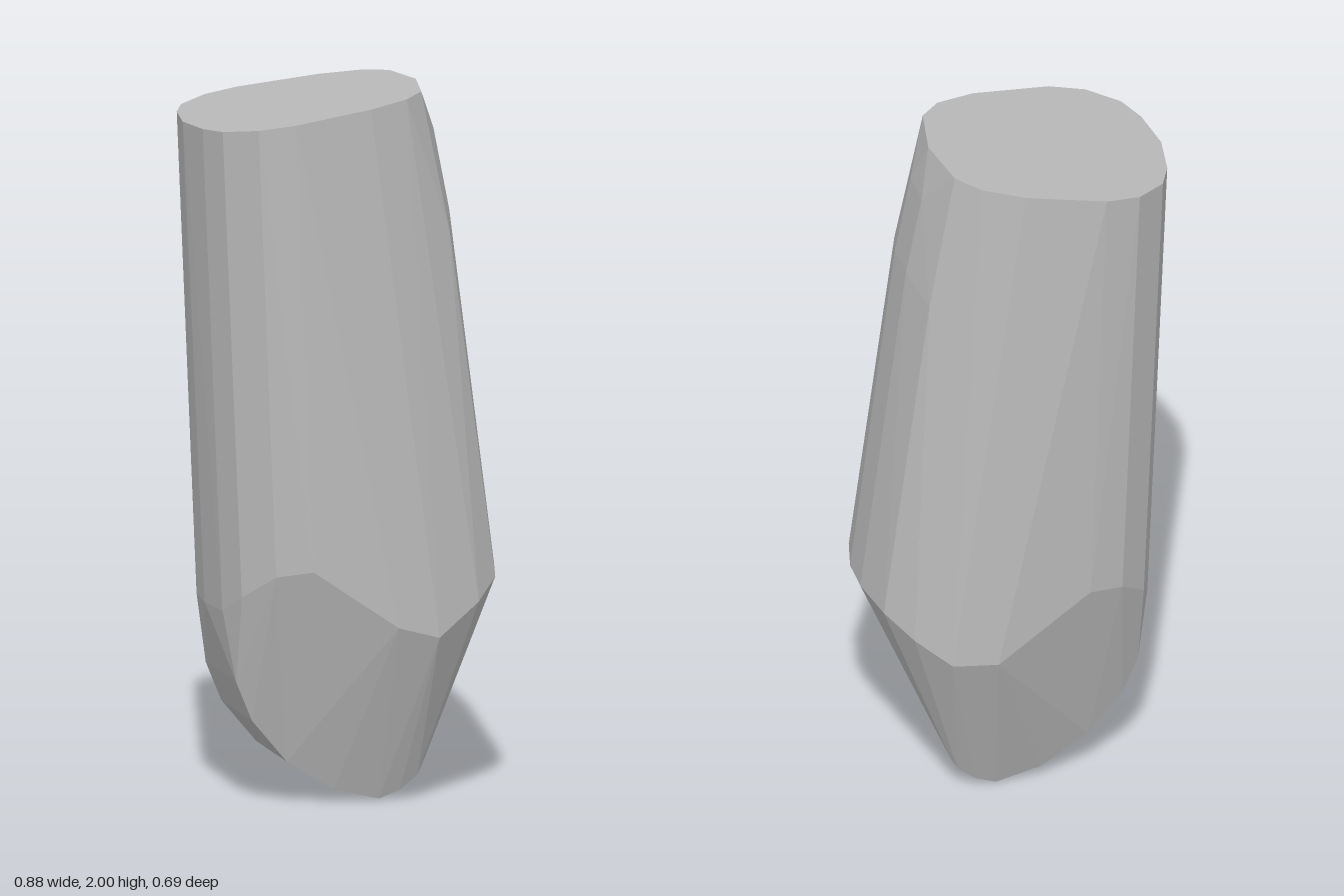
import * as THREE from 'three';
import { ConvexGeometry } from 'three/addons/geometries/ConvexGeometry.js';

export function createModel() {
  const group = new THREE.Group();
  const grey = new THREE.MeshStandardMaterial({ color: 0xb8b8b8, flatShading: true });
  grey.name = 'plain grey';

  const points = [];
  const add = (x, y, z) => points.push(new THREE.Vector3(x, y, z));
  const mirrored = (x, y, z) => { add(x, y, z); if (z > 0) add(x, y, -z); };

  // slanted flat end: half outline as x, z
  const end = [[-0.44, 0], [-0.42, 0.14], [-0.385, 0.225], [-0.3, 0.295], [-0.2, 0.316],
    [0.025, 0.287], [0.14, 0.24], [0.2, 0.172], [0.23, 0]];
  for (const [x, z] of end) mirrored(x, 2 + (x - 0.23) * 0.134, z);

  // rounded shoulder under the high edge
  mirrored(0.265, 1.87, 0.06);
  mirrored(0.31, 1.64, 0.06);
  mirrored(0.277, 1.6, 0.19);
  mirrored(0.21, 1.78, 0.21);

  // widest ring, where the tip begins
  const ring = [[0.44, 0.635, 0.055], [0.408, 0.62, 0.19], [0.34, 0.565, 0.268],
    [-0.15, 0.68, 0.325], [-0.25, 0.665, 0.295], [-0.33, 0.6, 0.225],
    [-0.363, 0.55, 0.14], [-0.377, 0.55, 0]];
  for (const p of ring) mirrored(...p);
  add(0.09, 0.515, 0.345);
  add(0.21, 0.48, 0.332);
  add(0.12, 0.5, -0.348);
  add(0.245, 0.5, -0.325);

  // curved wedge of the tip: side profile with half widths
  const tip = [[-0.33, 0.35, 0.165], [-0.285, 0.24, 0.165], [-0.185, 0.12, 0.165], [-0.05, 0.035, 0.165],
    [0.08, 0.003, 0.165], [0.14, 0.025, 0.165], [0.19, 0.065, 0.165], [0.21, 0.1, 0.155]];
  for (const p of tip) mirrored(...p);
  add(0.08, 0, 0);

  const body = new THREE.Mesh(new ConvexGeometry(points), grey);
  body.name = 'facetedBody';
  group.add(body);
  return group;
}
